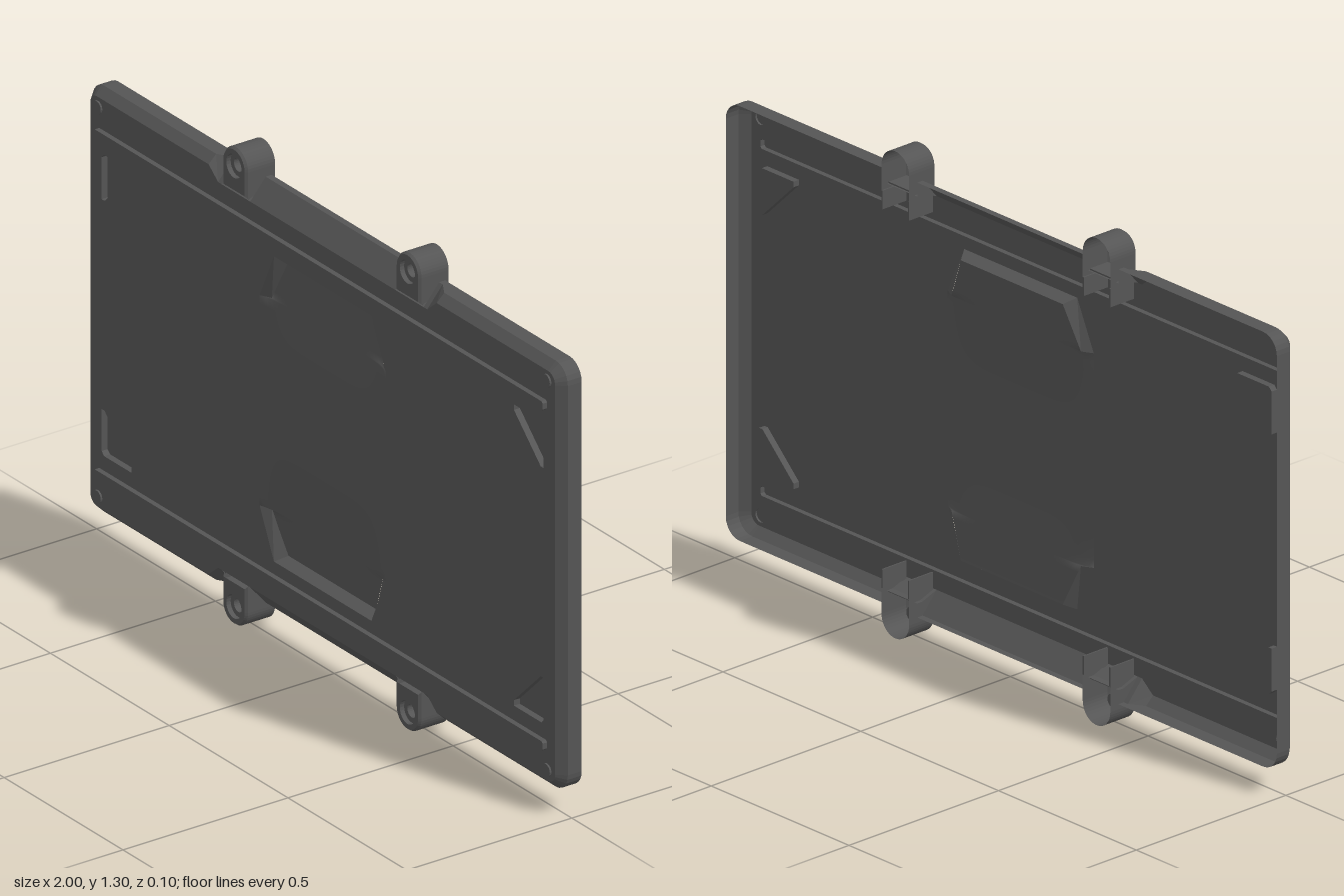
import * as THREE from 'three';

const MID = 0.6525;   // height of the panel's centre
const FACE = 0.035;   // z of the front sheet
const flat = new THREE.MeshStandardMaterial({ color: 0x555555, flatShading: true, side: THREE.DoubleSide });
const smooth = new THREE.MeshStandardMaterial({ color: 0x555555, side: THREE.DoubleSide });

// Skin between successive loops of [x, y, z] points
function loft(loops, closed = true) {
  const n = loops[0].length, index = [];
  for (let r = 0; r < loops.length - 1; r++) {
    for (let i = 0; i < (closed ? n : n - 1); i++) {
      const a = r * n + i, b = r * n + (i + 1) % n;
      index.push(a, b, a + n, b, b + n, a + n);
    }
  }
  const g = new THREE.BufferGeometry();
  g.setAttribute('position', new THREE.Float32BufferAttribute(loops.flat(2), 3));
  g.setIndex(index);
  g.computeVertexNormals();
  return g;
}

const at = (pts, z) => pts.map(([x, y]) => [x, y, z]);
const vecs = pts => pts.map(([x, y]) => new THREE.Vector2(x, y));

function add(parent, name, geometry, material = flat) {
  const mesh = new THREE.Mesh(geometry, material);
  mesh.name = name;
  parent.add(mesh);
  return mesh;
}

// Sheet pressed forward or back: side wall and cap
function emboss(parent, name, pts, z) {
  const g = new THREE.Group();
  g.name = name;
  add(g, 'wall', loft([at(pts, z), at(pts, FACE)]));
  add(g, 'cap', new THREE.ShapeGeometry(new THREE.Shape(vecs(pts)))).position.z = z;
  parent.add(g);
}

function circle(cx, cy, r, n = 16) {
  return Array.from({ length: n }, (_, i) => {
    const a = i / n * Math.PI * 2;
    return [cx + r * Math.cos(a), cy + r * Math.sin(a)];
  });
}

// One quarter of the rim: front edge, shoulder and back edge at each point
function rimQuarter() {
  const q = [];
  const notch = (x, y) => q.push([[x, 0.5275, FACE], [x, y, -0.012], [x, y, -0.03]]);
  notch(0.305, 0.5825);
  notch(0.305, 0.545);      // slot for the lug
  notch(0.425, 0.545);
  notch(0.425, 0.5825);
  notch(0.44, 0.5825);
  q.push([[0.48, 0.5605, FACE], [0.48, 0.5825, 0.012], [0.48, 0.5825, -0.03]]);
  for (let i = 0; i <= 6; i++) {
    const a = Math.PI / 2 * (1 - i / 6);
    const p = (r, z) => [0.95 + r * Math.cos(a), 0.5325 + r * Math.sin(a), z];
    q.push([p(0.028, FACE), p(0.05, 0.012), p(0.05, -0.03)]);
  }
  return q;
}

function rimLoops() {
  const q = rimQuarter(), ring = [];
  for (const [sx, sy] of [[1, 1], [1, -1], [-1, -1], [-1, 1]]) {
    const part = q.map(c => c.map(([x, y, z]) => [x * sx, y * sy, z]));
    ring.push(...(sx * sy > 0 ? part : part.reverse()));
  }
  return [0, 1, 2].map(k => ring.map(c => c[k]));
}

// Central recess: level at mid height, sinking toward top and bottom
function buildRecess(parent) {
  const depth = y => FACE - 0.03 * (y / 0.4025) ** 2;
  const rows = [];
  const row = (y, half, blend) => rows.push(Array.from({ length: 33 }, (_, i) => {
    const u = i / 16 - 1, k = blend ? 1 - Math.abs(u) ** 6 : 1;
    return [u * half, y, FACE + (depth(y) - FACE) * k];
  }));
  const end = s => {
    for (let i = 0; i <= 6; i++) {
      const t = s < 0 ? 1 - i / 6 : i / 6;
      row(s * (0.2875 + 0.115 * t), 0.235 - 0.05 * t, false);
    }
  };
  end(-1);
  for (let i = 0; i <= 24; i++) row(-0.2875 + 0.575 * i / 24, 0.265, true);
  end(1);
  add(parent, 'recessFloor', loft(rows, false), smooth);
  for (const s of [1, -1]) {
    const outer = [[-0.265, 0.2875], [-0.205, 0.4175], [0.205, 0.4175], [0.265, 0.2875]];
    const inner = [[-0.235, 0.2875], [-0.185, 0.4025], [0.185, 0.4025], [0.235, 0.2875]];
    add(parent, 'recessWall', loft([
      outer.map(([x, y]) => [x, y * s, FACE]),
      inner.map(([x, y]) => [x, y * s, depth(y)])], false));
  }
}

// Arched fixing lug, open at the back, with a stepped bolt socket
function buildLug() {
  const g = new THREE.Group(), cy = 0.6025, r = 0.05;
  g.name = 'mountingLug';
  const arch = [[r, 0.53]];
  for (let i = 0; i <= 20; i++) {
    const a = i / 20 * Math.PI;
    arch.push([r * Math.cos(a), cy + r * Math.sin(a)]);
  }
  arch.push([-r, 0.53]);
  const inset = arch.map(([x, y]) => [x * 0.9, cy + (y - cy) * 0.9]);
  add(g, 'arch', loft([at(arch, -0.048), at(arch, 0.034), at(inset, 0.041)], false));
  const face = new THREE.Shape(vecs(inset));
  face.holes.push(new THREE.Path(vecs(circle(0, cy, 0.032, 24))));
  add(g, 'frontFace', new THREE.ShapeGeometry(face)).position.z = 0.041;
  const socket = add(g, 'boltSocket', new THREE.LatheGeometry(vecs(
    [[0.032, 0.041], [0.032, 0.028], [0.018, 0.028], [0.018, 0.005], [0, 0.005]]), 24));
  socket.rotation.x = Math.PI / 2;
  socket.position.y = cy;
  for (const s of [1, -1]) {
    add(g, 'sidePlate', new THREE.BoxGeometry(0.004, 0.05, 0.08)).position.set(s * 0.048, 0.5075, -0.008);
  }
  add(g, 'shelf', new THREE.BoxGeometry(0.096, 0.004, 0.06)).position.set(0, 0.5475, 0.004);
  return g;
}

export function createModel() {
  const model = new THREE.Group();
  model.name = 'panel';
  const body = new THREE.Group();
  body.name = 'body';
  body.position.y = MID;
  model.add(body);

  // Pressed details, which also cut the front sheet
  const holes = [[[-0.265, 0.2875], [-0.205, 0.4175], [0.205, 0.4175], [0.265, 0.2875],
    [0.265, -0.2875], [0.205, -0.4175], [-0.205, -0.4175], [-0.265, -0.2875]]];
  const press = (name, pts, z) => {
    holes.push(pts);
    emboss(body, name, pts, z);
  };
  for (const sy of [1, -1]) {
    press('longRib', [[-0.945, 0.457], [-0.94, 0.452], [0.94, 0.452], [0.945, 0.457],
      [0.945, 0.473], [0.94, 0.478], [-0.94, 0.478], [-0.945, 0.473]].map(([x, y]) => [x, y * sy]), 0.049);
    for (const sx of [1, -1]) {
      press('cornerTriangle', [[0.805, 0.412], [0.92, 0.412], [0.93, 0.402], [0.93, 0.287],
        [0.918, 0.287], [0.805, 0.397]].map(([x, y]) => [x * sx, y * sy]), 0.017);
      press('cornerStud', circle(0.945 * sx, 0.5325 * sy, 0.018), 0.04);
      const lug = buildLug();
      lug.position.x = 0.365 * sx;
      lug.scale.y = sy;
      body.add(lug);
    }
  }
  buildRecess(body);

  // Front sheet and surrounding rim
  const loops = rimLoops();
  const sheet = new THREE.Shape(vecs(loops[0]));
  sheet.holes = holes.map(h => new THREE.Path(vecs(h)));
  add(body, 'frontSheet', new THREE.ShapeGeometry(sheet)).position.z = FACE;
  add(body, 'rim', loft(loops));
  return model;
}
